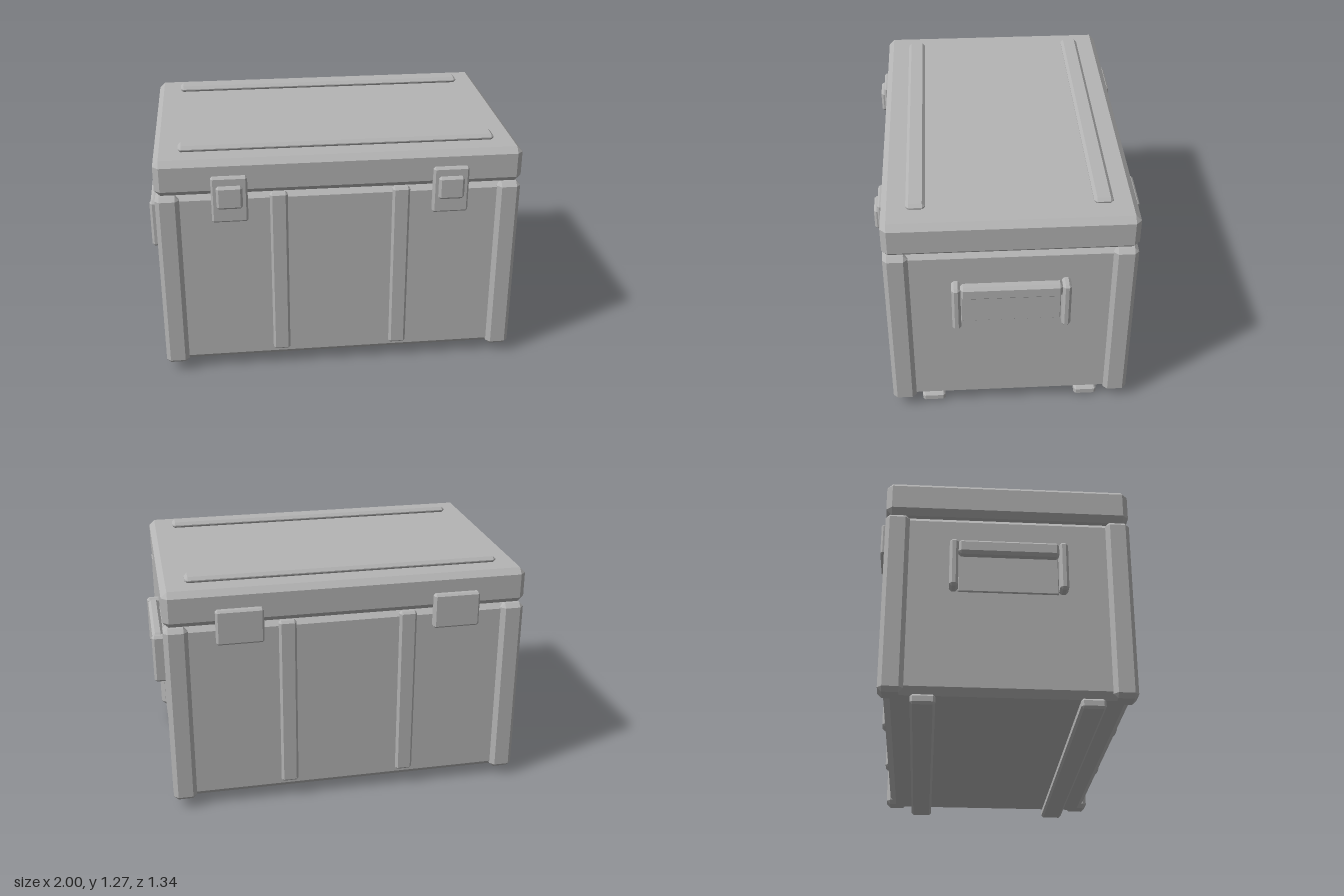
import * as THREE from 'three';
import { ConvexGeometry } from 'three/addons/geometries/ConvexGeometry.js';

// Chamfered box given by its x, y and z ranges and the bevel size
function bevelBox([x0, x1], [y0, y1], [z0, z1], b) {
  const half = [(x1 - x0) / 2, (y1 - y0) / 2, (z1 - z0) / 2];
  const points = [];
  for (const sx of [-1, 1]) for (const sy of [-1, 1]) for (const sz of [-1, 1]) {
    for (let axis = 0; axis < 3; axis++) {
      const h = half.map((v, i) => (i === axis ? v : v - b));
      points.push(new THREE.Vector3(sx * h[0], sy * h[1], sz * h[2]));
    }
  }
  const g = new ConvexGeometry(points);
  g.translate((x0 + x1) / 2, (y0 + y1) / 2, (z0 + z1) / 2);
  return g;
}

const span = (centre, size) => [centre - size / 2, centre + size / 2];
// Range from inner to outer distance, on the chosen side of the centre
const side = (s, inner, outer) => (s > 0 ? [inner, outer] : [-outer, -inner]);

export function createModel() {
  const model = new THREE.Group();
  model.name = 'storageCrate';
  const grey = new THREE.MeshStandardMaterial({ color: 0xb4b4b4 });
  grey.name = 'plain grey';

  const crate = new THREE.Group();
  crate.name = 'crate';
  crate.position.z = -0.006;
  model.add(crate);

  const add = (name, x, y, z, bevel) => {
    const mesh = new THREE.Mesh(bevelBox(x, y, z, bevel), grey);
    mesh.name = name;
    crate.add(mesh);
  };

  // Main box and lid
  add('body', [-0.925, 0.925], [0.05, 1.05], [-0.607, 0.607], 0.035);
  add('lid', [-0.948, 0.948], [1.05, 1.24], [-0.632, 0.632], 0.03);

  for (const sz of [-1, 1]) {
    // Rails on the lid and skids under the body
    add('lidRail', [-0.82, 0.82], [1.236, 1.271], span(sz * 0.46, 0.096), 0.015);
    add('skid', [-0.915, 0.915], [0, 0.052], span(sz * 0.413, 0.123), 0.012);

    for (const sx of [-1, 1]) {
      // Corner posts and vertical ribs
      add('cornerPost', side(sx, 0.825, 0.948), [0.05, 1.045], side(sz, 0.507, 0.632), 0.022);
      add('rib', span(sx * 0.318, 0.092), [0.1, 1.043], side(sz, 0.58, 0.625), 0.012);
    }
  }

  for (const sx of [-1, 1]) {
    // Front latches with a raised button
    add('latchPlate', span(sx * 0.57, 0.186), [0.907, 1.158], [0.615, 0.656], 0.01);
    add('latchButton', span(sx * 0.57, 0.134), [0.988, 1.112], [0.64, 0.677], 0.012);

    // Back hinges
    add('hinge', span(sx * 0.566, 0.244), [0.955, 1.141], [-0.665, -0.615], 0.01);

    // Side handle: two brackets, a grip and a thin backing plate
    for (const sz of [-1, 1]) {
      add('handleBracket', side(sx, 0.915, 1), [0.605, 0.874], side(sz, 0.255, 0.3), 0.013);
    }
    add('handleGrip', side(sx, 0.935, 0.995), [0.795, 0.874], [-0.257, 0.257], 0.015);
    add('handlePlate', side(sx, 0.915, 0.935), [0.605, 0.83], [-0.255, 0.255], 0.004);
  }

  return model;
}
